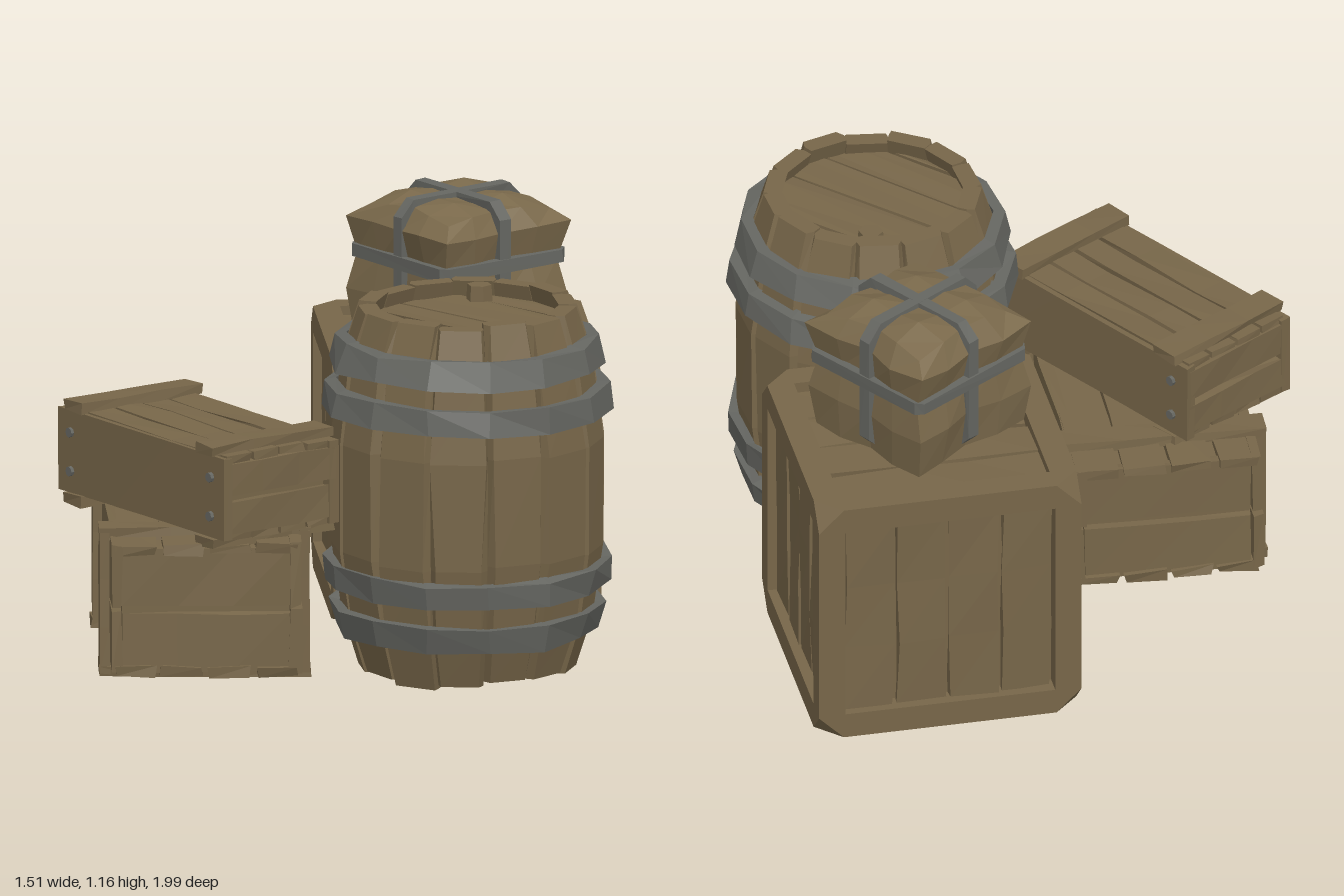
import * as THREE from 'three';

const mat = (name, color) => {
  const m = new THREE.MeshStandardMaterial({ color });
  m.name = name;
  return m;
};

// Repeatable noise from a position, so touching vertices stay together
const hash = (x, y, z, s) => {
  const v = Math.sin(Math.round(x * 500) * 12.99 + Math.round(y * 500) * 78.23 + Math.round(z * 500) * 37.72 + s * 9.17) * 437.58;
  return (v - Math.floor(v)) * 2 - 1;
};

// Faceted normals plus a slight hand-hewn wobble
function hew(geo, amount = 0, seed = 1) {
  const g = geo.index ? geo.toNonIndexed() : geo;
  const p = g.attributes.position;
  for (let i = 0; i < p.count; i++) {
    const x = p.getX(i), y = p.getY(i), z = p.getZ(i);
    p.setXYZ(i, x + amount * hash(x, y, z, seed), y + amount * hash(x, y, z, seed + 1), z + amount * hash(x, y, z, seed + 2));
  }
  g.computeVertexNormals();
  return g;
}

// Solid through rings of points, each ring counterclockwise seen from above
function loft(rings) {
  const n = rings[0].length, pos = rings.flat(2), idx = [];
  for (let k = 0; k < rings.length - 1; k++)
    for (let i = 0; i < n; i++) {
      const a = k * n + i, b = k * n + (i + 1) % n;
      idx.push(a, b, b + n, a, b + n, a + n);
    }
  const t = (rings.length - 1) * n;
  for (let i = 1; i < n - 1; i++) idx.push(0, i + 1, i, t, t + i, t + i + 1);
  const g = new THREE.BufferGeometry();
  g.setAttribute('position', new THREE.Float32BufferAttribute(pos, 3));
  g.setIndex(idx);
  return g;
}

export function createModel() {
  const wood = mat('wood', 0x776649), sackCloth = mat('sackcloth', 0x7a694b), iron = mat('iron', 0x656661);
  const root = new THREE.Group();
  let seed = 0;

  const group = (name, x, y, z, ry) => {
    const g = new THREE.Group();
    g.name = name;
    g.position.set(x, y, z);
    g.rotation.y = ry;
    root.add(g);
    return g;
  };
  const add = (parent, name, geo, material, x = 0, y = 0, z = 0) => {
    const m = new THREE.Mesh(geo, material);
    m.name = name;
    m.position.set(x, y, z);
    parent.add(m);
    return m;
  };
  const plank = (parent, name, w, h, d, x, y, z, wobble = 0.004) => {
    const s = v => (v > 0.3 ? 3 : 1);
    return add(parent, name, hew(new THREE.BoxGeometry(w, h, d, s(w), s(h), s(d)), wobble, ++seed), wood, x, y, z);
  };
  const polygon = pts => pts.map(([x, y]) => new THREE.Vector2(x, y));
  const cutSquare = (hx, hy, c) => polygon([[hx, c - hy], [hx, hy - c], [hx - c, hy], [c - hx, hy],
    [-hx, hy - c], [-hx, c - hy], [c - hx, -hy], [hx - c, -hy]]);

  // ---- Large framed crate ----
  const big = group('largeCrate', -0.21, 0.39, -0.48, -0.747);
  const H = 0.369, CUT = 0.07;
  add(big, 'crateCore', hew(new THREE.BoxGeometry(0.63, 0.63, 0.63)), wood);
  const frame = new THREE.Shape(cutSquare(H, H, CUT));
  frame.holes.push(new THREE.Path(polygon([[-0.295, -0.295], [-0.295, 0.295], [0.295, 0.295], [0.295, -0.295]])));
  const frameGeo = hew(new THREE.ExtrudeGeometry(frame, { depth: 0.06, bevelEnabled: false }));
  const turns = [[0, 0], [0, 1], [0, 2], [0, 3], [1, 0], [-1, 0]];
  for (const [rx, ry] of turns) {
    const side = new THREE.Group();
    side.name = 'crateSide';
    side.rotation.set(rx * Math.PI / 2, ry * Math.PI / 2, 0);
    big.add(side);
    add(side, 'crateFrame', frameGeo, wood, 0, 0, H - 0.06);
    for (let i = 0; i < 4; i++) plank(side, 'cratePanelPlank', 0.134, 0.59, 0.04, (i - 1.5) * 0.147, 0, H - 0.045, 0.005);
  }
  // chamfered corners
  const c = H - CUT;
  for (const sx of [1, -1]) for (const sy of [1, -1]) for (const sz of [1, -1]) {
    const tri = [[c * sx, H * sy, H * sz], [H * sx, H * sy, c * sz], [H * sx, c * sy, H * sz]];
    if (sx * sy * sz > 0) tri.reverse();
    const g = new THREE.BufferGeometry();
    g.setAttribute('position', new THREE.Float32BufferAttribute([tri[0], tri[2], tri[1]].flat().slice(), 3));
    g.computeVertexNormals();
    // face each corner outward
    const nrm = g.attributes.normal;
    if (nrm.getX(0) * sx < 0) {
      g.setIndex([0, 2, 1]);
      g.computeVertexNormals();
    }
    add(big, 'crateCorner', g, wood);
  }

  // ---- Strapped sack on the crate ----
  const sack = group('sack', -0.185, 0.76, -0.46, -0.165);
  const bag = new THREE.BoxGeometry(2, 2, 2, 4, 4, 4), bp = bag.attributes.position;
  for (let i = 0; i < bp.count; i++) {
    const v = [bp.getX(i), bp.getY(i), bp.getZ(i)], [x, y, z] = v;
    const edges = v.filter(a => Math.abs(a) > 0.9).length;
    const waist = Math.abs(y) < 0.1 ? 0.92 : 1;
    const size = (y < -0.9 ? 0.2 : y > 0.9 ? 0.175 : 0.216) * waist;
    const pinch = (a, b) => (Math.abs(a) > 0.9 && Math.abs(b) < 0.1 ? 0.93 : 1);
    const top = y > 0.9 ? (edges === 3 ? 0.36 : edges === 2 ? 0.372 : x === 0 || z === 0 ? 0.385 : 0.4) : 0.2 + y * 0.2 + (y > -0.9 ? 0.02 : 0);
    bp.setXYZ(i, x * size * pinch(x, z), top, z * size * pinch(z, x));
  }
  add(sack, 'sackBody', hew(bag, 0.007, 4), sackCloth);
  const strap = (hx, hy, cut) => {
    const s = new THREE.Shape(cutSquare(hx, hy, cut));
    s.holes.push(new THREE.Path(cutSquare(hx - 0.025, hy - 0.025, cut)));
    return hew(new THREE.ExtrudeGeometry(s, { depth: 0.036, bevelEnabled: false }).translate(0, 0, -0.018), 0.002);
  };
  add(sack, 'waistStrap', strap(0.217, 0.217, 0.02), iron, 0, 0.225, 0).rotation.x = Math.PI / 2;
  const loop = strap(0.212, 0.2, 0.045);
  add(sack, 'lengthStrap', loop, iron, 0, 0.2, 0);
  add(sack, 'crossStrap', loop, iron, 0, 0.2, 0).rotation.y = Math.PI / 2;

  // ---- Barrel ----
  const barrel = group('barrel', 0.357, 0, 0.095, 0);
  const STAVES = 14, step = Math.PI * 2 / STAVES;
  const profile = [[0, 0.3], [0.14, 0.345], [0.34, 0.374], [0.64, 0.376], [0.86, 0.345], [1, 0.3]];
  for (let i = 0; i < STAVES; i++) {
    const t0 = i * step, t1 = t0 + step;
    const low = i === 0 ? 0.003 : 0.018 + 0.008 * hash(i, 1, 2, 3), high = 1.028 + 0.009 * hash(i, 5, 2, 7);
    const rings = profile.map(([f, r], k) => {
      const y = low + f * (high - low);
      const g0 = 0.035 + 0.025 * hash(i, k, 3, 1), g1 = 0.035 + 0.025 * hash(i, k, 8, 2);
      return [[r, t0 + g0], [r, t1 - g1], [r - 0.022, t1], [r - 0.05, t1], [r - 0.05, t0], [r - 0.022, t0]]
        .map(([q, t]) => [q * Math.sin(t), y, q * Math.cos(t)]);
    });
    add(barrel, 'stave', hew(loft(rings)), wood);
  }
  // hoops: centre height, lower radius, upper radius
  for (const [y, r0, r1] of [[0.155, 0.362, 0.385], [0.285, 0.39, 0.4], [0.775, 0.4, 0.39], [0.905, 0.385, 0.362]]) {
    const p = polygon([[r0, -0.036], [r1, 0.036], [r1 - 0.035, 0.036], [r0 - 0.035, -0.036], [r0, -0.036]]);
    add(barrel, 'hoop', hew(new THREE.LatheGeometry(p, STAVES), 0.007, ++seed), iron, 0, y, 0);
  }
  // recessed heads made of planks
  const R = 0.275, cuts = [-0.275, -0.185, -0.01, 0.11, 0.24, 0.275];
  for (const [name, y] of [['barrelTop', 0.955], ['barrelBottom', 0.05]]) {
    add(barrel, name + 'Backing', hew(new THREE.CylinderGeometry(0.28, 0.28, 0.01, STAVES)), wood, 0, y + 0.015, 0);
    for (let i = 0; i < 5; i++) {
      const right = [];
      for (let k = 0; k <= 4; k++) {
        const z = cuts[i] + 0.006 + (cuts[i + 1] - cuts[i] - 0.012) * k / 4;
        right.push([Math.sqrt(R * R - z * z), -z]);
      }
      const outline = right.concat(right.map(([x, z]) => [-x, z]).reverse());
      const g = new THREE.ExtrudeGeometry(new THREE.Shape(polygon(outline)), { depth: 0.03, bevelEnabled: false });
      add(barrel, name + 'Plank', hew(g.rotateX(-Math.PI / 2), 0.004, ++seed), wood, 0, y, 0);
    }
  }
  add(barrel, 'bung', hew(new THREE.CylinderGeometry(0.034, 0.038, 0.06, 6)), wood, -0.12, 1.0, -0.18);

  // ---- Lower slatted crate ----
  const low = group('lowerCrate', -0.268, 0, 0.498, -Math.PI / 4 - 0.01);
  plank(low, 'crateInside', 0.78, 0.31, 0.46, 0, 0.23, 0, 0);
  for (const s of [-1, 1]) {
    for (const y of [0.143, 0.33]) {
      plank(low, 'longSlat', 0.855, 0.175, 0.03, 0, y, s * 0.247, 0.006);
      plank(low, 'endBoard', 0.03, 0.165, 0.462, s * 0.4, y - 0.005, 0);
    }
    for (let i = 0; i < 4; i++) plank(low, s > 0 ? 'topSlat' : 'bottomSlat', 0.855, 0.028, 0.112, 0, 0.232 + s * 0.173, (i - 1.5) * 0.13, 0.006);
    plank(low, 'topBatten', 0.08, 0.03, 0.58, s * 0.28, 0.426, 0);
    plank(low, 'bottomBatten', 0.08, 0.03, 0.58, s * 0.28, 0.036, 0);
    for (const z of [-0.274, 0.274]) plank(low, 'sideBatten', 0.08, 0.4, 0.028, s * 0.28, 0.23, z, 0.002);
  }

  // ---- Upper bolted crate ----
  const up = group('upperCrate', -0.225, 0, 0.553, -0.2);
  plank(up, 'crateInside', 0.71, 0.2, 0.34, 0, 0.56, 0, 0);
  for (const s of [-1, 1]) {
    plank(up, 'sideBoard', 0.77, 0.232, 0.03, 0, 0.56, s * 0.18, 0.002);
    for (const y of [0.505, 0.615]) {
      plank(up, 'endBoard', 0.035, 0.09, 0.37, s * 0.365, y, 0);
      for (const x of [-0.325, 0.325])
        add(up, 'bolt', hew(new THREE.CylinderGeometry(0.014, 0.014, 0.012, 8).rotateX(Math.PI / 2)), iron, x, y, s * 0.199);
    }
    for (let i = 0; i < 4; i++) plank(up, s > 0 ? 'topPlank' : 'bottomPlank', 0.75, 0.025, 0.083, 0, 0.56 + s * 0.108, (i - 1.5) * 0.092);
    for (const x of [-0.305, 0.305]) plank(up, 'batten', 0.085, 0.028, 0.41, x, 0.56 + s * 0.132, 0);
  }
  return root;
}
